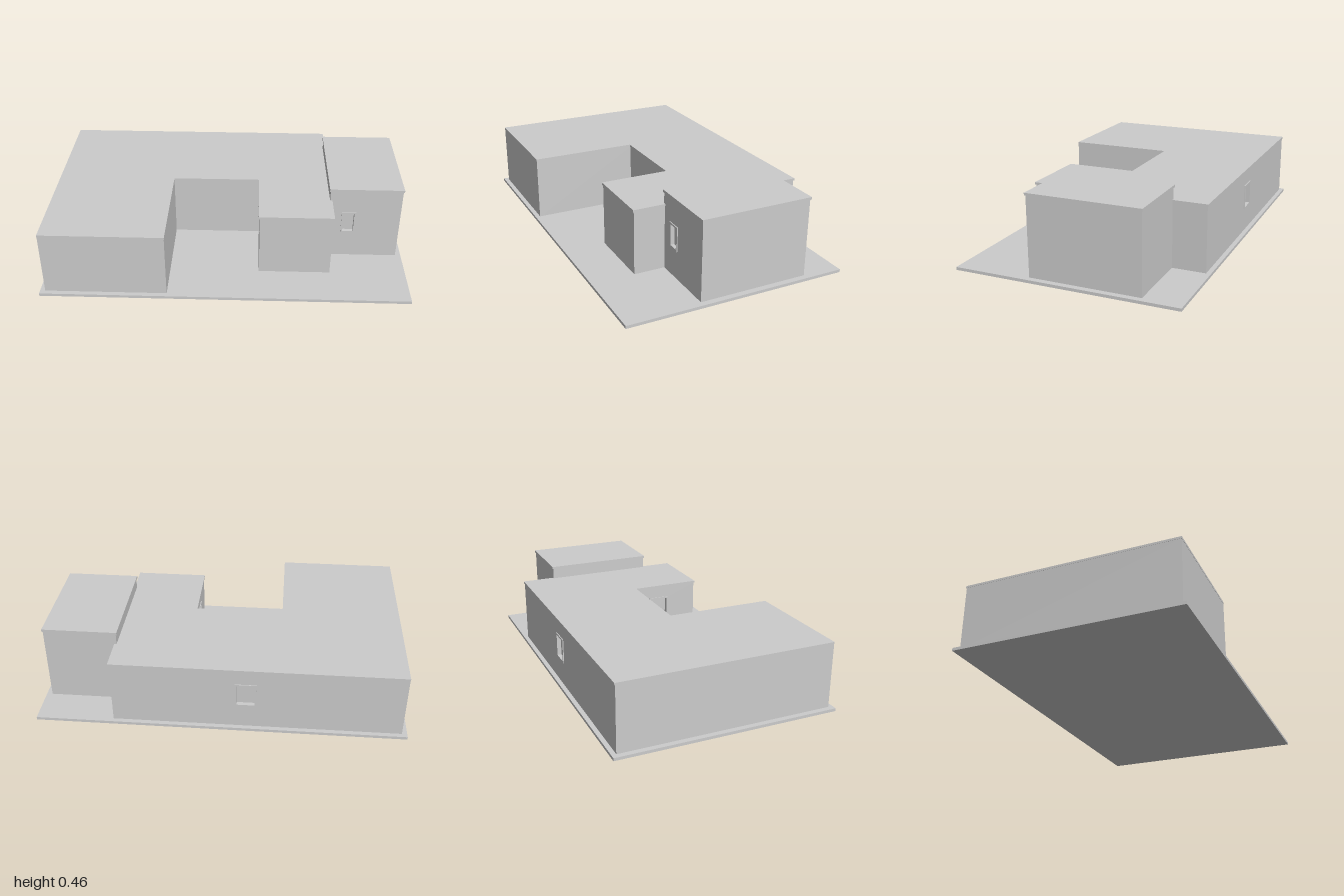
import * as THREE from 'three';

const BASE_TOP = 0.016;
const WALL_THICKNESS = 0.03;

// Outline from a list of [u, v] corners
function outline(points, Type = THREE.Shape) {
  return new Type(points.map(([u, v]) => new THREE.Vector2(u, v)));
}

function rect(u0, u1, v0, v1) {
  return [[u0, v0], [u1, v0], [u1, v1], [u0, v1]];
}

function extrude(shape, depth) {
  return new THREE.ExtrudeGeometry(shape, { depth, bevelEnabled: false });
}

// Flat slab from an [x, z] plan, hanging down from the given top height
function slab(name, plan, top, thickness, material) {
  const geometry = extrude(outline(plan), thickness);
  geometry.rotateX(Math.PI / 2);
  geometry.translate(0, top, 0);
  const mesh = new THREE.Mesh(geometry, material);
  mesh.name = name;
  return mesh;
}

// One wall between plan corners a and b, with an optional window opening
function wall(a, b, top, win, material) {
  const dx = b[0] - a[0], dz = b[1] - a[1];
  const length = Math.hypot(dx, dz);
  const group = new THREE.Group();
  group.name = 'wall';
  group.position.set(a[0], 0, a[1]);
  group.rotation.y = Math.atan2(-dz, dx);

  const add = (name, geometry, z) => {
    const mesh = new THREE.Mesh(geometry, material);
    mesh.name = name;
    mesh.position.z = z;
    group.add(mesh);
  };

  const face = outline(rect(0, length, BASE_TOP, top));
  if (win) {
    const [u0, u1, v0, v1] = win;
    const f = 0.01;
    const inner = rect(u0 + f, u1 - f, v0 + f, v1 - f);
    face.holes.push(outline(inner, THREE.Path));
    const frame = outline(rect(u0, u1, v0, v1));
    frame.holes.push(outline(inner, THREE.Path));
    add('windowFrame', extrude(frame, 0.009), -0.004);
    add('windowPane', extrude(outline(inner), 0.006), -0.024);
  }
  add('wallPanel', extrude(face, WALL_THICKNESS), -WALL_THICKNESS);
  return group;
}

// Closed run of walls; windows are keyed by wall index
function walls(name, plan, top, windows, material) {
  const group = new THREE.Group();
  group.name = name;
  plan.forEach((p, i) => {
    group.add(wall(p, plan[(i + 1) % plan.length], top, windows[i], material));
  });
  return group;
}

export function createModel() {
  const model = new THREE.Group();
  model.name = 'house';
  const plaster = new THREE.MeshStandardMaterial({ color: 0xcccccc });
  plaster.name = 'light grey plaster';

  // Ground slab
  model.add(slab('baseSlab', rect(-1, 1, -0.613, 0.613), BASE_TOP, BASE_TOP, plaster));

  // Low house wrapped around a courtyard
  const lowPlan = [
    [-0.972, 0.587], [-0.312, 0.587], [-0.312, -0.014], [0.184, -0.014],
    [0.184, 0.375], [0.579, 0.375], [0.579, -0.588], [-0.972, -0.588],
  ];
  const lowRoof = [
    [-0.973, 0.588], [-0.311, 0.588], [-0.311, -0.009], [0.179, -0.009],
    [0.179, 0.38], [0.584, 0.38], [0.584, -0.592], [-0.973, -0.592],
  ];
  model.add(walls('lowWalls', lowPlan, 0.37, {
    3: [0.094, 0.214, 0.145, 0.305],
    6: [0.66, 0.775, 0.15, 0.29],
  }, plaster));
  model.add(slab('lowRoof', lowRoof, 0.381, 0.012, plaster));

  // Taller block at the side
  const tallPlan = rect(0.571, 0.969, -0.405, 0.201).reverse();
  model.add(walls('tallWalls', tallPlan, 0.445, {
    3: null,
    0: null,
  }, plaster));
  model.add(slab('tallRoof', rect(0.566, 0.974, -0.41, 0.206), 0.456, 0.014, plaster));

  // Window on the front of the taller block
  const frontWall = model.getObjectByName('tallWalls');
  const index = tallPlan.findIndex((p, i) => p[1] > 0 && tallPlan[(i + 1) % 4][1] > 0);
  frontWall.remove(frontWall.children[index]);
  frontWall.add(wall([0.571, 0.201], [0.969, 0.201], 0.445, [0.071, 0.151, 0.172, 0.308], plaster));

  return model;
}
